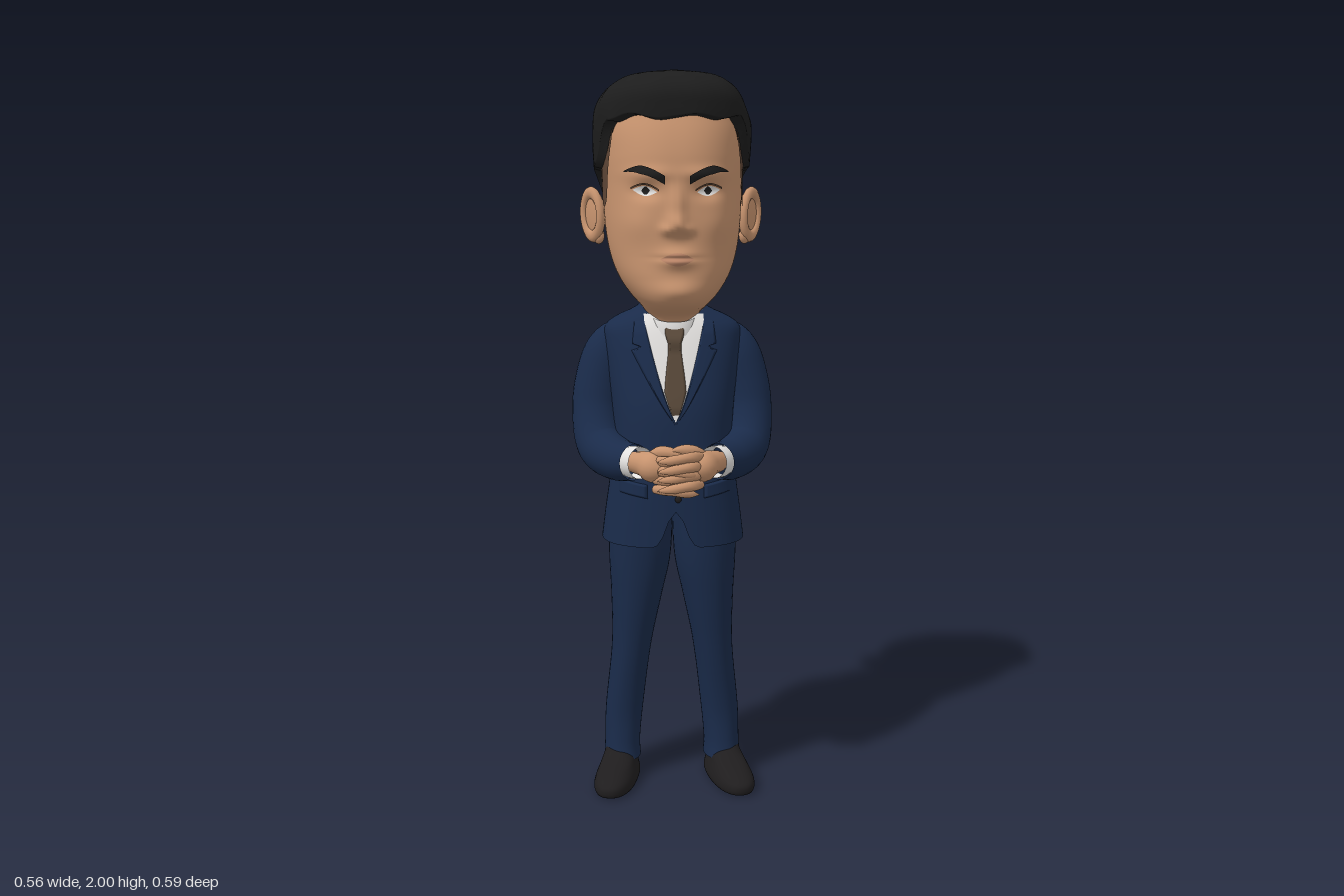
import * as THREE from 'three';
import { mergeVertices } from 'three/addons/utils/BufferGeometryUtils.js';
import { ParametricGeometry } from 'three/addons/geometries/ParametricGeometry.js';

const mat = (name, color, side = THREE.FrontSide) => {
  const m = new THREE.MeshStandardMaterial({ color, side });
  m.name = name;
  return m;
};
const V = (x, y, z) => new THREE.Vector3(x, y, z);
const gauss = (d, s) => Math.exp(-((d / s) ** 2));
const signPow = (a, p) => Math.sign(a) * Math.abs(a) ** p;

// Smooth table lookup: rows are [t, a, b, ...]
function lut(rows, t) {
  const last = rows.length - 1;
  if (t <= rows[0][0]) return rows[0].slice(1);
  if (t >= rows[last][0]) return rows[last].slice(1);
  let i = 0;
  while (t > rows[i + 1][0]) i++;
  const p = rows[Math.max(i - 1, 0)], a = rows[i], b = rows[i + 1], q = rows[Math.min(i + 2, last)];
  const h = b[0] - a[0], s = (t - a[0]) / h, s2 = s * s, s3 = s2 * s;
  return a.slice(1).map((_, k) => {
    const c = k + 1;
    const ma = (b[c] - p[c]) / (b[0] - p[0]) * h, mb = (q[c] - a[c]) / (q[0] - a[0]) * h;
    return (2 * s3 - 3 * s2 + 1) * a[c] + (s3 - 2 * s2 + s) * ma + (3 * s2 - 2 * s3) * b[c] + (s3 - s2) * mb;
  });
}

function smooth(g) {
  g.deleteAttribute('uv');
  g.deleteAttribute('normal');
  const m = mergeVertices(g);
  m.computeVertexNormals();
  return m;
}
const surface = (fn, nu, nv) => smooth(new ParametricGeometry((u, v, p) => p.copy(fn(u, v)), nu, nv));

// Superellipse cross-section; section = [halfWidth, front z, back z, centre x]
function ring([w, zf, zb, cx = 0], phi, y, n = 2.4, k = 0.5) {
  const zc = zb + (zf - zb) * k, c = signPow(Math.cos(phi), 2 / n);
  return V(cx + w * signPow(Math.sin(phi), 2 / n), y, zc + c * (c > 0 ? zf - zc : zc - zb));
}
function frontZ([w, zf, zb], x, n = 2.4, k = 0.5) {
  const zc = zb + (zf - zb) * k;
  return zc + (zf - zc) * Math.max(0, 1 - (Math.abs(x) / w) ** n) ** (1 / n);
}
const around = u => (u - 0.5) * Math.PI * 2;

// Stacked cross-sections; a capped loft closes both ends
function loft(rows, nu, nv, { n = 2.4, bottom, cap = false } = {}) {
  const y0 = rows[0][0], y1 = rows[rows.length - 1][0];
  return surface((u, v) => {
    const phi = around(u), b = bottom ? bottom(Math.abs(phi)) : y0;
    const y = b + (y1 - b) * v, s = lut(rows, y);
    if (cap && (v === 0 || v === 1)) return V(s[3] || 0, y, (s[1] + s[2]) / 2);
    return ring(s, phi, y, n);
  }, nu, nv);
}

// Tapered tube along a curve
function sweep(points, radii, segs = 24, sides = 16) {
  const curve = new THREE.CatmullRomCurve3(points.map(p => V(...p)));
  const g = new THREE.TubeGeometry(curve, segs, 1, sides), pos = g.attributes.position, nor = g.attributes.normal;
  const table = radii.map((r, i) => [i / (radii.length - 1), r]);
  for (let i = 0; i < pos.count; i++) {
    const t = Math.floor(i / (sides + 1)) / segs, c = curve.getPointAt(t), r = lut(table, t)[0];
    pos.setXYZ(i, c.x + nor.getX(i) * r, c.y + nor.getY(i) * r, c.z + nor.getZ(i) * r);
  }
  return smooth(g);
}

// Thin plate that follows a front surface; raised plates sink at the rim
function plate(zFn, off, fn, side = 1, nu = 24, nv = 16) {
  return surface((u, v) => {
    const [x, y] = fn(side > 0 ? u : 1 - u, v);
    const rim = off > 0.0065 ? Math.min(1, 8 * Math.min(u, 1 - u, v, 1 - v)) : 1;
    return V(x * side, y, zFn(x, y) + off * rim - (rim < 0.01 ? 0.002 : 0));
  }, nu, nv);
}

// Head sections: height, half width, front z, back z
const HEAD = [[1.28, 0.065, 0.05, -0.11], [1.35, 0.072, 0.065, -0.115], [1.38, 0.09, 0.17, -0.125], [1.41, 0.117, 0.198, -0.135],
  [1.46, 0.15, 0.2, -0.16], [1.52, 0.172, 0.195, -0.205], [1.6, 0.185, 0.195, -0.25], [1.7, 0.188, 0.192, -0.272],
  [1.78, 0.188, 0.188, -0.265], [1.86, 0.18, 0.165, -0.235], [1.93, 0.145, 0.125, -0.165], [1.96, 0.08, 0.07, -0.08]];
const HAIR = [[1.4, 0.085, 0.08, -0.135], [1.43, 0.115, 0.1, -0.155], [1.48, 0.158, 0.12, -0.195], [1.55, 0.187, 0.13, -0.25],
  [1.65, 0.204, 0.14, -0.287], [1.75, 0.214, 0.15, -0.293], [1.84, 0.217, 0.167, -0.265], [1.9, 0.21, 0.174, -0.225],
  [1.94, 0.19, 0.172, -0.18], [1.97, 0.155, 0.15, -0.12], [1.99, 0.1, 0.11, -0.04], [2.0, 0.003, 0.045, 0.035]];
// Hairline heights by angle from the front
const HAIRLINE = [[0, 1.87], [0.75, 1.87], [0.98, 1.855], [1.15, 1.78], [1.3, 1.75], [1.7, 1.73], [1.95, 1.69], [2.2, 1.6], [2.55, 1.47], [3.15, 1.43]];
const FADELINE = [[1, 1.84], [1.12, 1.74], [1.2, 1.66], [1.42, 1.65], [1.52, 1.69], [1.7, 1.67], [1.82, 1.55], [2, 1.45], [2.4, 1.415], [3.15, 1.41]];
// Face relief: x, y, x spread, y spread, depth
const RELIEF = [[0, 1.645, 0.018, 0.05, 0.02], [0, 1.598, 0.024, 0.026, 0.028], [0.028, 1.585, 0.015, 0.014, 0.014],
  [0.08, 1.683, 0.035, 0.02, -0.016], [0.07, 1.728, 0.06, 0.018, 0.01], [0.11, 1.6, 0.045, 0.045, 0.008],
  [0, 1.51, 0.045, 0.024, 0.022], [0, 1.513, 0.05, 0.006, -0.009], [0, 1.425, 0.05, 0.028, 0.012]];
const relief = (x, y) => RELIEF.reduce((s, [cx, cy, sx, sy, a]) => s + a * gauss(Math.abs(x) - cx, sx) * gauss(y - cy, sy), 0);
const faceZ = (x, y) => frontZ(lut(HEAD, y), x, 2.4, 0.42) + relief(x, y);
function headPoint(phi, y, off = 0) {
  const [w, zf, zb] = lut(HEAD, y);
  const p = ring([w + off, zf + off, zb - off], phi, y, 2.4, 0.42);
  if (Math.cos(phi) > 0) p.z += relief(p.x, y);
  return p;
}
function hairPoint(u, v) {
  const phi = around(u), a = Math.abs(phi);
  const b = lut(HAIRLINE, a)[0] + (a < 0.9 ? 0.006 * Math.sin(phi * 9) : 0);
  if (v === 0) return headPoint(phi, b, -0.003);
  const y = b + (2 - b) * Math.sin(v * Math.PI / 2), top = THREE.MathUtils.smoothstep(y, 1.85, 1.92);
  const k = 1 + 0.01 * top * Math.sin(phi * 13 + y * 25) - 0.07 * top * gauss(phi - 1.4, 0.3);
  const [w, zf, zb] = lut(HAIR, y);
  return ring([w * k, zf * (1 + (k - 1) * 0.5), zb * k], phi, y, 2.4, 0.42);
}

const JACKET = [[0.72, 0.2, 0.14, -0.205], [0.8, 0.19, 0.138, -0.195], [0.9, 0.176, 0.135, -0.18], [1, 0.166, 0.13, -0.18],
  [1.1, 0.17, 0.12, -0.187], [1.2, 0.182, 0.092, -0.187], [1.28, 0.19, 0.066, -0.18], [1.32, 0.185, 0.05, -0.17],
  [1.345, 0.15, 0.038, -0.163], [1.365, 0.105, 0.028, -0.155], [1.39, 0.076, 0.015, -0.144]];
const COLLAR = [[1.28, 0.078, 0.07, -0.13], [1.34, 0.083, 0.062, -0.14], [1.41, 0.078, 0.03, -0.145]];
const LEG = [[0.06, 0.053, 0.01, -0.14, 0.145], [0.1, 0.051, 0.002, -0.145, 0.145], [0.2, 0.054, 0, -0.15, 0.139], [0.4, 0.057, 0.03, -0.16, 0.117],
  [0.55, 0.073, 0.055, -0.175, 0.102], [0.66, 0.087, 0.07, -0.18, 0.093], [0.8, 0.092, 0.08, -0.17, 0.09]];
const SHOE = [[0, 0.056, 0.145, -0.13], [0.015, 0.06, 0.152, -0.134], [0.035, 0.056, 0.145, -0.13], [0.055, 0.049, 0.1, -0.127],
  [0.075, 0.044, 0.03, -0.124], [0.1, 0.04, -0.01, -0.12]];

export function createModel() {
  const root = new THREE.Group();
  const skin = mat('skin', 0xc8946f), lip = mat('lips', 0xb98467), fade = mat('shavedHair', 0x5e4636), hair = mat('hair', 0x1d1d1d);
  const suit = mat('suit', 0x1a2b4a, THREE.DoubleSide), shirt = mat('shirt', 0xe4e2e0, THREE.DoubleSide);
  const tie = mat('tie', 0x584839), shoe = mat('shoe', 0x1f1d1e);
  const add = (name, geo, m) => {
    const mesh = new THREE.Mesh(geo, m);
    mesh.name = name;
    root.add(mesh);
    return mesh;
  };

  // Head and hair
  add('head', surface((u, v) => headPoint(around(u), 1.28 + 0.68 * v), 128, 120), skin);
  add('hair', surface(hairPoint, 128, 48), hair);
  add('shavedSides', surface((u, v) => {
    const phi = 1.02 + u * (2 * Math.PI - 2.04), a = Math.min(phi, 2 * Math.PI - phi);
    const top = lut(HAIRLINE, a)[0] + 0.01, low = Math.min(lut(FADELINE, a)[0], top);
    return headPoint(phi, low + (top - low) * v, 0.004);
  }, 120, 14), fade);
  add('lips', plate(faceZ, 0.002, (u, v) => {
    const x = (u - 0.5) * 0.09;
    return [x, 1.51 + (v - 0.5) * 0.034 * Math.sin(Math.PI * u)];
  }), lip);

  // Torso: jacket, shirt front and tie
  const chestZ = (x, y) => frontZ(lut(JACKET, y), x);
  const vee = y => 0.082 * Math.min(1, Math.max(0, (y - 1.07) / 0.27)) ** 0.75;
  add('jacket', loft(JACKET, 96, 64, { bottom: a => 0.725 + 0.1 * gauss(a, 0.12) }), suit);
  add('collar', surface((u, v) => {
    const phi = around(u), back = (1 - Math.cos(phi)) / 2;
    const low = 1.295 + 0.06 * back, y = low + (1.335 + 0.075 * back - low) * v;
    return ring(lut(COLLAR, y), phi, y, 2.2);
  }, 64, 8), shirt);
  add('shirtFront', plate(chestZ, 0.004, (u, v) => {
    const y = 1.07 + 0.285 * v;
    return [(2 * u - 1) * vee(y), y];
  }), shirt);
  const tieWidth = [[1.07, 0.03], [1.15, 0.033], [1.25, 0.021], [1.275, 0.018], [1.3, 0.025], [1.325, 0.026]];
  add('tie', plate((x, y) => chestZ(x, y) + 0.012 * THREE.MathUtils.smoothstep(y, 1.25, 1.29), 0.009, (u, v) => {
    const y = 1.075 + 0.25 * v;
    return [(2 * u - 1) * Math.min(lut(tieWidth, y)[0], vee(y)), y];
  }, 1, 24, 40), tie);
  add('button', new THREE.SphereGeometry(0.009, 12, 8).scale(1, 1, 0.5).translate(0.006, 0.86, 0.137), shoe);

  for (const s of [1, -1]) {
    // Face details
    add('eyeWhite', plate(faceZ, 0.003, (u, v) => [0.052 + 0.062 * u, 1.682 + 0.006 * u + (v - 0.5) * 0.025 * Math.sin(Math.PI * u)], s), shirt);
    add('iris', plate(faceZ, 0.0055, (u, v) => [0.07 + 0.022 * u, 1.686 + (v - 0.5) * 0.021 * Math.sin(Math.PI * u)], s), hair);
    add('upperLid', plate(faceZ, 0.006, (u, v) => [0.047 + 0.072 * u, 1.684 + 0.006 * u + 0.013 * Math.sin(Math.PI * u) + v * 0.005], s), fade);
    add('eyebrow', plate(faceZ, 0.005, (u, v) => [0.032 + 0.105 * u,
      1.712 + 0.028 * Math.sin(u * 2.2) + (v - 0.5) * 0.022 * Math.min(1, 2.2 * (1 - u) + 0.1)], s), hair);

    // Ear
    const ear = new THREE.Group();
    ear.name = s > 0 ? 'leftEar' : 'rightEar';
    const bowl = new THREE.Mesh(new THREE.SphereGeometry(1, 24, 16).scale(0.046, 0.068, 0.014), skin);
    const rim = new THREE.Mesh(new THREE.TorusGeometry(0.037, 0.011, 10, 32).scale(1, 1.6, 1.1), skin);
    const lobe = new THREE.Mesh(new THREE.SphereGeometry(0.02, 16, 12).scale(1, 1.1, 0.7).translate(-s * 0.012, -0.06, 0), skin);
    rim.position.z = 0.008;
    bowl.name = 'earBowl'; rim.name = 'earRim'; lobe.name = 'earLobe';
    ear.add(bowl, rim, lobe);
    ear.position.set(s * 0.213, 1.62, -0.09);
    ear.rotation.set(0, s * 0.93, -s * 0.1);
    root.add(ear);

    // Lapel and pocket flap
    add('lapel', plate(chestZ, 0.009, (u, v) => {
      const y = 1.06 + 0.28 * v, notch = y > 1.262 && y < 1.275 ? 0.02 : 0;
      const outer = vee(y) + 0.004 + (y < 1.265 ? 0.055 * (y - 1.06) / 0.205 : 0.05 - (y - 1.265) * 0.35) - notch;
      return [vee(y) - 0.002 + (outer - vee(y)) * u, y];
    }, s, 24, 48), suit);
    add('pocketFlap', plate(chestZ, 0.009, (u, v) => [0.075 + 0.08 * u, 0.86 + 0.012 * u + 0.04 * v], s), suit);

    // Arm, cuff and clasped hand
    const side = pts => pts.map(([x, y, z]) => [x * s, y, z]);
    add('sleeve', sweep(side([[0.12, 1.305, -0.07], [0.165, 1.275, -0.07], [0.195, 1.19, -0.07], [0.212, 1.08, -0.05], [0.2, 0.99, 0.005],
      [0.155, 0.965, 0.09], [0.112, 0.968, 0.155]]), [0.03, 0.064, 0.07, 0.068, 0.067, 0.06, 0.049], 48, 28), suit);
    add('cuff', sweep(side([[0.13, 0.967, 0.13], [0.112, 0.968, 0.155], [0.096, 0.97, 0.177]]), [0.04, 0.044, 0.043], 8, 24), shirt);
    add('palm', sweep(side([[0.115, 0.968, 0.15], [0.085, 0.97, 0.19], [0.055, 0.965, 0.225], [0.02, 0.962, 0.25]]), [0.028, 0.034, 0.04, 0.002], 20, 20), skin);
    for (let i = 0; i < 4; i++) {
      const y = 1.0 - 0.025 * i - (s < 0 ? 0.012 : 0), z = 0.26 + 0.008 * (i % 2) + (s > 0 ? 0.008 : 0);
      add('finger', sweep(side([[0.06, y - 0.004, 0.228], [0.025, y, z], [-0.02, y - 0.006, z + 0.006], [-0.055, y - 0.014, z - 0.012]]),
        [0.012, 0.0145, 0.013, 0.012, 0.001], 14, 10), skin);
    }
    add('thumb', sweep(side([[0.075, 0.99, 0.2], [0.045, 1.008, 0.225], [0, 1.01 + 0.006 * s, 0.24], [-0.025, 1.006 + 0.006 * s, 0.245]]),
      [0.012, 0.016, 0.014, 0.001], 14, 10), skin);

    // Leg and shoe
    add('trouserLeg', loft(LEG.map(([y, w, f, b, c]) => [y, w, f, b, c * s]), 40, 40, { n: 2.2 }), suit);
    const foot = add('shoe', loft(SHOE, 40, 24, { n: 2.3, cap: true }), shoe);
    foot.position.set(s * 0.16, 0, -0.006);
    foot.rotation.y = s * 0.2;
  }
  return root;
}
